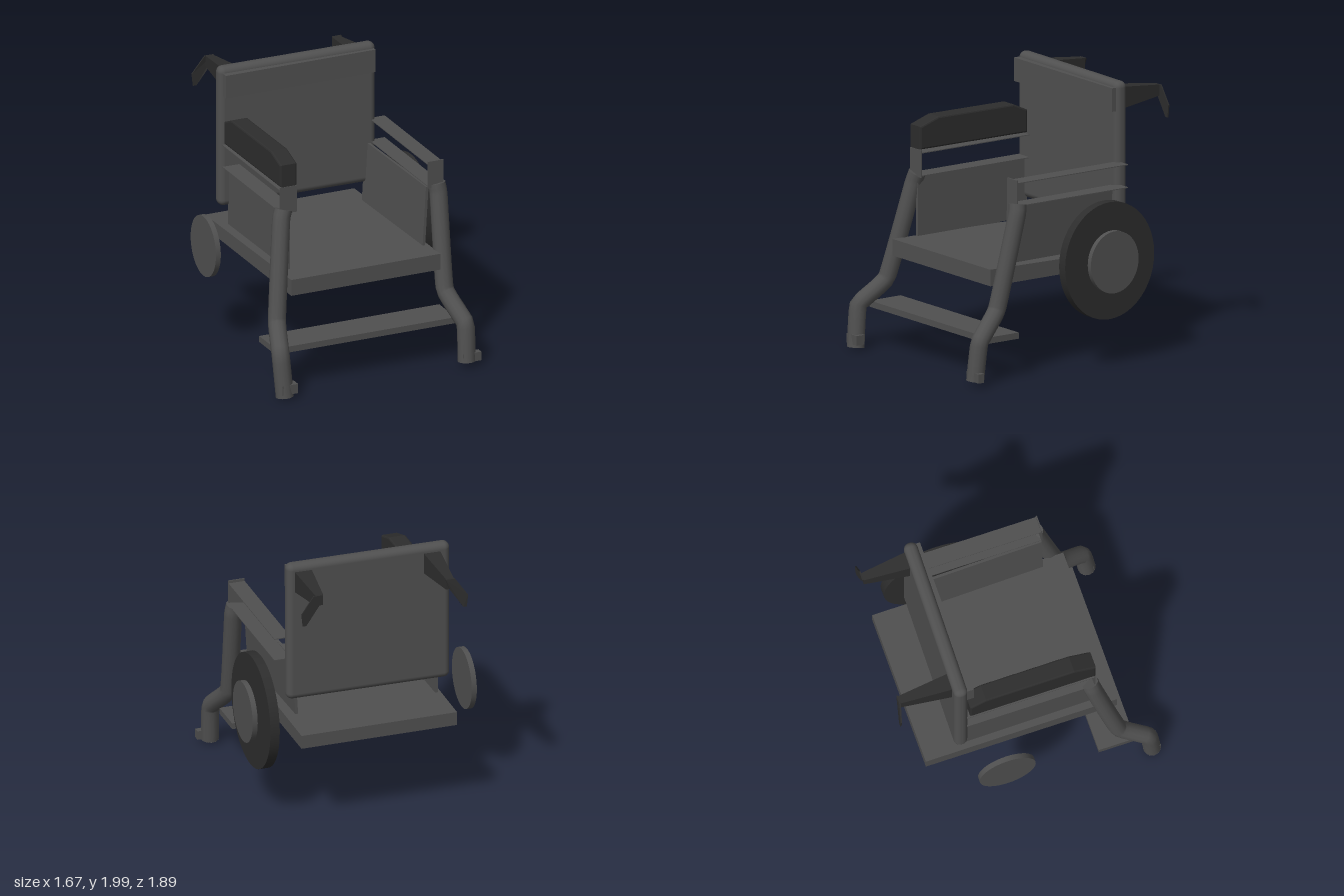
import * as THREE from 'three';
import { RoundedBoxGeometry } from 'three/addons/geometries/RoundedBoxGeometry.js';

export function createModel() {
  const model = new THREE.Group();
  model.name = 'wheelchair';
  const grey = new THREE.MeshStandardMaterial({ color: 0x505050, side: THREE.DoubleSide });
  grey.name = 'frame grey';
  const dark = new THREE.MeshStandardMaterial({ color: 0x2d2d2d, side: THREE.DoubleSide });
  dark.name = 'dark rubber';

  const add = (name, geometry, material, x = 0, y = 0, z = 0) => {
    const mesh = new THREE.Mesh(geometry, material);
    mesh.name = name;
    mesh.position.set(x, y, z);
    model.add(mesh);
    return mesh;
  };
  // box given by its lower and upper limits on each axis
  const block = (name, material, x0, x1, y0, y1, z0, z1) =>
    add(name, new THREE.BoxGeometry(x1 - x0, y1 - y0, z1 - z0), material,
      (x0 + x1) / 2, (y0 + y1) / 2, (z0 + z1) / 2);

  // seat, its top dropping slightly to the back
  const seat = new THREE.BoxGeometry(1.16, 0.12, 1.42);
  const sp = seat.attributes.position;
  for (let i = 0; i < sp.count; i++) {
    if (sp.getY(i) > 0 && sp.getZ(i) < 0) sp.setY(i, 0.04);
  }
  seat.computeVertexNormals();
  add('seat', seat, grey, 0, 0.74, -0.04);

  // backrest and its raised upper band
  const back = add('backrest', new RoundedBoxGeometry(1.21, 1.05, 0.1, 4, 0.045), grey, -0.005, 1.475, -0.48);
  back.rotation.y = -0.017;
  block('backrestBand', grey, -0.585, 0.58, 1.79, 1.96, -0.46, -0.395);

  // foot bar between the legs
  block('footBar', grey, -0.74, 0.66, 0.29, 0.335, 0.48, 0.75);

  // bent front legs, capped at both ends
  const legs = {
    rightLeg: [[-0.55, 1.26, 0.475], [-0.575, 1.18, 0.49], [-0.68, 0.5, 0.645], [-0.745, 0.32, 0.845], [-0.73, 0.02, 0.88]],
    leftLeg: [[0.64, 1.26, 0.475], [0.65, 1.18, 0.49], [0.625, 0.52, 0.645], [0.69, 0.32, 0.845], [0.685, 0.045, 0.88]],
  };
  for (const [name, points] of Object.entries(legs)) {
    const curve = new THREE.CatmullRomCurve3(points.map(p => new THREE.Vector3(...p)), false, 'catmullrom', 0.15);
    add(name, new THREE.TubeGeometry(curve, 32, 0.064, 12), grey);
    for (const t of [0, 1]) {
      const end = curve.getPoint(t);
      const cap = add(name + 'Cap', new THREE.CircleGeometry(0.064, 12), grey, end.x, end.y, end.z);
      const out = curve.getTangent(t).multiplyScalar(t ? 1 : -1);
      cap.lookAt(end.clone().add(out));
    }
  }
  block('rightFootBlock', grey, -0.77, -0.65, 0.05, 0.12, 0.86, 0.93);
  block('leftFootBlock', grey, 0.64, 0.78, 0.05, 0.115, 0.87, 0.92);

  // thin side panels, arm rails and the plates at the leg tops
  const rightPanel = block('rightSidePanel', grey, -0.535, -0.515, 0.81, 1.25, -0.46, 0.5);
  rightPanel.rotation.y = 0.01;
  const leftPanel = block('leftSidePanel', grey, 0.525, 0.545, 0.81, 1.25, -0.46, 0.5);
  leftPanel.rotation.set(0, 0.02, -0.06);
  for (const [side, x0, x1] of [['right', -0.59, -0.46], ['left', 0.56, 0.68]]) {
    block(side + 'UpperRail', grey, x0, x1, 1.415, 1.421, -0.46, 0.5);
    block(side + 'LowerRail', grey, x0, x1, 1.25, 1.256, -0.46, 0.5);
    block(side + 'LegTopPlate', grey, x0, x1, 1.24, 1.44, 0.5, 0.509);
  }

  // armrest pad, on the right side only
  const profile = [[0.5, 1.455], [0.5, 1.6], [0.35, 1.65], [-0.3, 1.645], [-0.41, 1.595], [-0.41, 1.45]];
  const pad = new THREE.ExtrudeGeometry(new THREE.Shape(profile.map(p => new THREE.Vector2(...p))), {
    depth: 0.106, bevelThickness: 0.012, bevelSize: 0.012, bevelSegments: 2,
  });
  pad.rotateY(-Math.PI / 2);
  add('armrestPad', pad, dark, -0.472, 0, 0);

  // tapered push handles with thin hooked ends that flare outwards and down
  const hook = [[0.46, 1.91], [0.53, 1.91], [0.62, 1.78], [0.61, 1.69], [0.585, 1.69], [0.49, 1.83]];
  for (const [name, side, end, shift] of [['left', 1, -0.855, 0], ['right', -1, -0.91, -0.025]]) {
    const length = end * -1 - 0.5;
    const arm = new THREE.BoxGeometry(0.13, 0.16, length);
    const p = arm.attributes.position;
    for (let i = 0; i < p.count; i++) {
      if (p.getZ(i) < 0) p.setXY(i, p.getX(i) * 0.45, p.getY(i) * 0.5);
    }
    arm.computeVertexNormals();
    add(name + 'Handle', arm, dark, side * (0.485 + shift * 0.6), 1.87, -0.5 - length / 2);
    const outline = new THREE.Shape(hook.map(([x, y]) => new THREE.Vector2(side * (x + shift), y)));
    const tip = new THREE.ExtrudeGeometry(outline, { depth: 0.01, bevelEnabled: false });
    const q = tip.attributes.position;
    // the right hook also leans back towards its tip
    for (let i = 0; i < q.count; i++) {
      if (side < 0 && q.getY(i) < 1.8) q.setZ(i, q.getZ(i) - 0.022);
    }
    tip.computeVertexNormals();
    add(name + 'HandleHook', tip, dark, 0, 0, end - 0.01);
  }

  // one large wheel on the left, a hub disc on each side
  const disc = (name, material, radius, width, x) => {
    const wheel = new THREE.CylinderGeometry(radius, radius, width, 48);
    wheel.rotateZ(Math.PI / 2);
    const mesh = add(name, wheel, material, x, 0.775, -0.23);
    mesh.scale.z = 0.93;
    return mesh;
  };
  disc('leftWheel', dark, 0.423, 0.07, 0.738).rotation.y = 0.015;
  disc('leftHub', grey, 0.224, 0.038, 0.815);
  disc('rightHub', grey, 0.224, 0.038, -0.82);

  return model;
}
